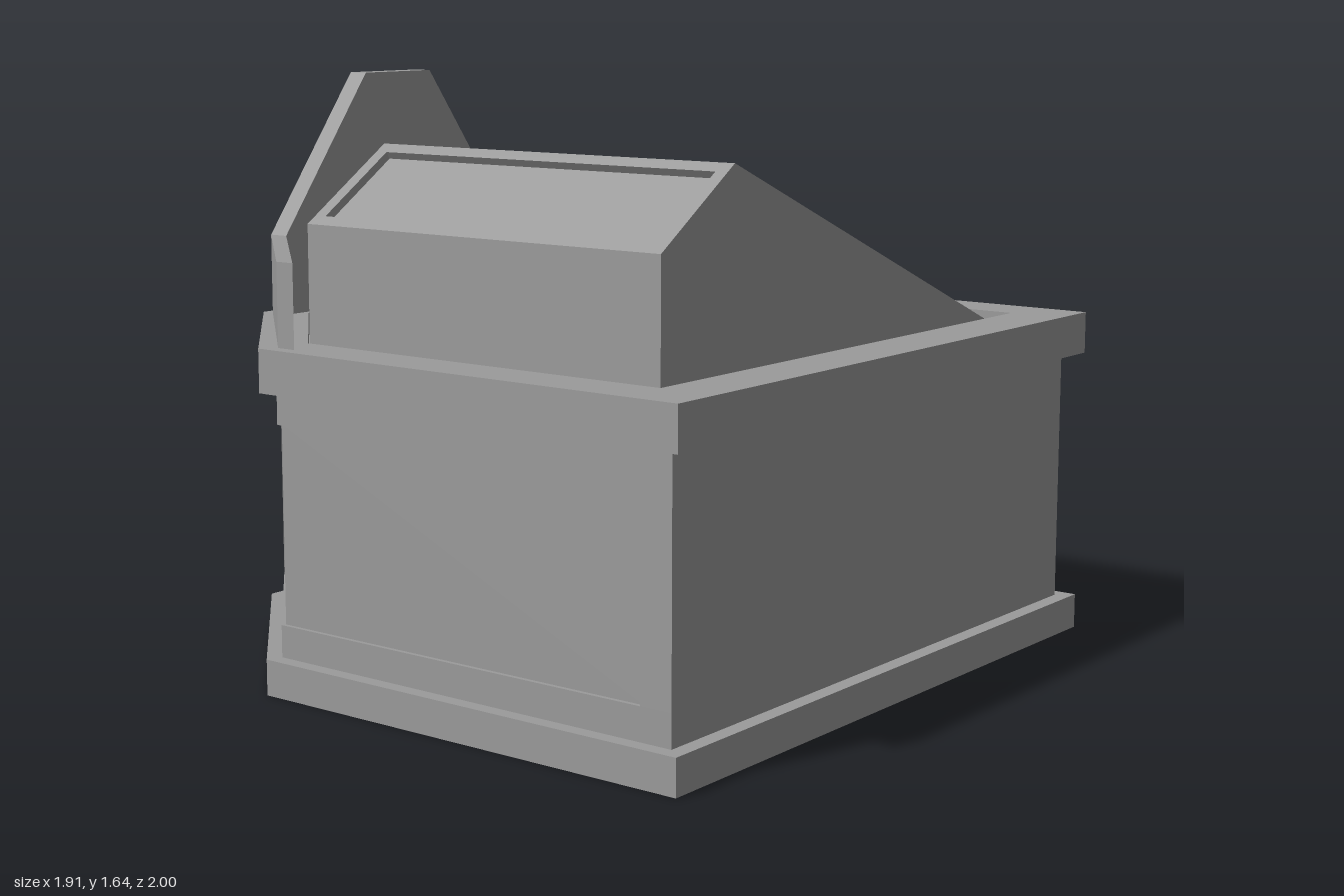
import * as THREE from 'three';

const material = new THREE.MeshStandardMaterial({ color: 0x9b9b9b, flatShading: true, side: THREE.DoubleSide });
const P = (x, y, z) => new THREE.Vector3(x, y, z);

// Mesh from a list of triangles' corner points
function mesh(name, points) {
  const geometry = new THREE.BufferGeometry().setFromPoints(points);
  geometry.computeVertexNormals();
  const m = new THREE.Mesh(geometry, material);
  m.name = name;
  return m;
}

// Quads joining path a (lower) to path b (upper)
function strip(a, b, closed = true) {
  const out = [];
  const n = a.length;
  for (let i = 0; i < (closed ? n : n - 1); i++) {
    const j = (i + 1) % n;
    out.push(a[i], a[j], b[j], a[i], b[j], b[i]);
  }
  return out;
}

// Convex polygon fill
function fan(p) {
  const out = [];
  for (let i = 1; i < p.length - 1; i++) out.push(p[0], p[i], p[i + 1]);
  return out;
}

// Rectangle a, b, c, d (counter-clockwise from outside) with a sunken centre
function recessed([a, b, c, d], margin, depth) {
  const u = b.clone().sub(a).normalize();
  const v = d.clone().sub(a).normalize();
  const n = u.clone().cross(v);
  const move = (p, su, sv) => p.clone().addScaledVector(u, su * margin).addScaledVector(v, sv * margin);
  const inner = [move(a, 1, 1), move(b, -1, 1), move(c, -1, -1), move(d, 1, -1)];
  const floor = inner.map(p => p.clone().addScaledVector(n, -depth));
  return [...strip([a, b, c, d], inner), ...strip(floor, inner), ...fan(floor)];
}

// Plan outline: a rectangle with both corners on the -x side cut off
const outline = (xr, xl, z, xc, zc) => y => [
  P(xr, y, z), P(xr, y, -z), P(xc, y, -z), P(xl, y, -zc), P(xl, y, zc), P(xc, y, z),
];

// Solid prism between two matching polygons
function prism(name, lower, upper) {
  return mesh(name, [...strip(lower, upper), ...fan(upper), ...fan([...lower].reverse())]);
}

export function createModel() {
  const group = new THREE.Group();
  const base = outline(0.95, -0.943, 0.995, -0.43, 0.48);
  const wall = outline(0.905, -0.905, 0.953, -0.413, 0.461);
  const cornice = outline(0.956, -0.948, 1, -0.43, 0.482);
  const inner = outline(0.792, -0.828, 0.85, -0.395, 0.417);
  const deckY = 0.885;

  // Plinth and its ledge
  group.add(mesh('plinth', [...strip(base(0), base(0.1)), ...strip(base(0.1), wall(0.1))]));

  // Walls: full bands below and above the sunken panels
  const lo = 0.19, hi = 0.74;
  const walls = [...strip(wall(0.1), wall(lo)), ...strip(wall(hi), wall(0.83))];
  const outerPath = (y, s) => [P(0.81, y, s * 0.953), P(-0.413, y, s * 0.953), P(-0.84, y, s * 0.526)];
  const sunkPath = (y, s) => [P(0.81, y, s * 0.941), P(-0.408, y, s * 0.941), P(-0.8315, y, s * 0.5175)];

  // Plain wall on the +x side and around the door
  const sidePath = y => [P(0.81, y, 0.953), P(0.905, y, 0.953), P(0.905, y, -0.953), P(0.81, y, -0.953)];
  const doorPath = y => [P(-0.84, y, -0.526), P(-0.905, y, -0.461), P(-0.905, y, 0.461), P(-0.84, y, 0.526)];
  walls.push(...strip(sidePath(lo), sidePath(hi), false), ...strip(doorPath(lo), doorPath(hi), false));
  group.add(mesh('walls', walls));

  // Sunken panels that wrap round the cut corners
  for (const s of [1, -1]) {
    const o0 = outerPath(lo, s), o1 = outerPath(hi, s);
    const r0 = sunkPath(lo, s), r1 = sunkPath(hi, s);
    const panel = [...strip(r0, r1, false), ...strip(o0, r0, false), ...strip(r1, o1, false)];
    for (const i of [0, 2]) panel.push(...fan([o0[i], r0[i], r1[i], o1[i]]));
    group.add(mesh(s > 0 ? 'frontPanel' : 'backPanel', panel));
  }

  // Cornice, its flat rim and the sunken roof deck
  group.add(mesh('cornice', [
    ...strip(wall(0.83), cornice(0.83)), ...strip(cornice(0.83), cornice(0.95)),
    ...strip(cornice(0.95), inner(0.95)), ...strip(inner(deckY), inner(0.95)),
  ]));
  group.add(mesh('roofDeck', fan(inner(deckY))));

  // Rooftop skylight with two glazed slopes
  const x0 = -0.388, x1 = 0.792;
  const profile = x => [P(x, deckY, 0.85), P(x, 1.272, 0.85), P(x, 1.47, 0.55), P(x, deckY, -0.85)];
  const l = profile(x0), r = profile(x1);
  group.add(mesh('skylightBody', [...fan(r.slice().reverse()), ...fan(l), ...fan([l[0], r[0], r[1], l[1]])]));
  group.add(mesh('skylightFrontSlope', recessed([l[1], r[1], r[2], l[2]], 0.037, 0.022)));
  group.add(mesh('skylightBackSlope', recessed([l[2], r[2], r[3], l[3]], 0.04, 0.022)));

  // Tall gable over the door side
  const gable = x => [
    P(x, 0.95, 0.482), P(x, 1.18, 0.482), P(x, 1.64, 0.14),
    P(x, 1.64, -0.14), P(x, 1.18, -0.482), P(x, 0.95, -0.482),
  ];
  group.add(prism('gable', gable(-0.91), gable(-0.848)));

  // Low parapets along the cut corners
  for (const s of [1, -1]) {
    const plan = y => [
      P(-0.91, y, s * 0.482), P(-0.848, y, s * 0.482), P(-0.336, y, s * 0.96), P(-0.396, y, s * 0.96),
    ];
    group.add(prism(s > 0 ? 'frontParapet' : 'backParapet', plan(0.95), plan(1.18)));
  }

  // Door slab with a sunken leaf, standing just clear of the wall
  const door = x => [P(x, 0, -0.217), P(x, 0, 0.183), P(x, 0.7, 0.183), P(x, 0.7, -0.217)];
  const doorFront = door(-0.957), doorBack = door(-0.915);
  group.add(mesh('door', [...recessed(doorFront, 0.035, 0.01), ...strip(doorBack, doorFront), ...fan(doorBack.reverse())]));

  return group;
}
